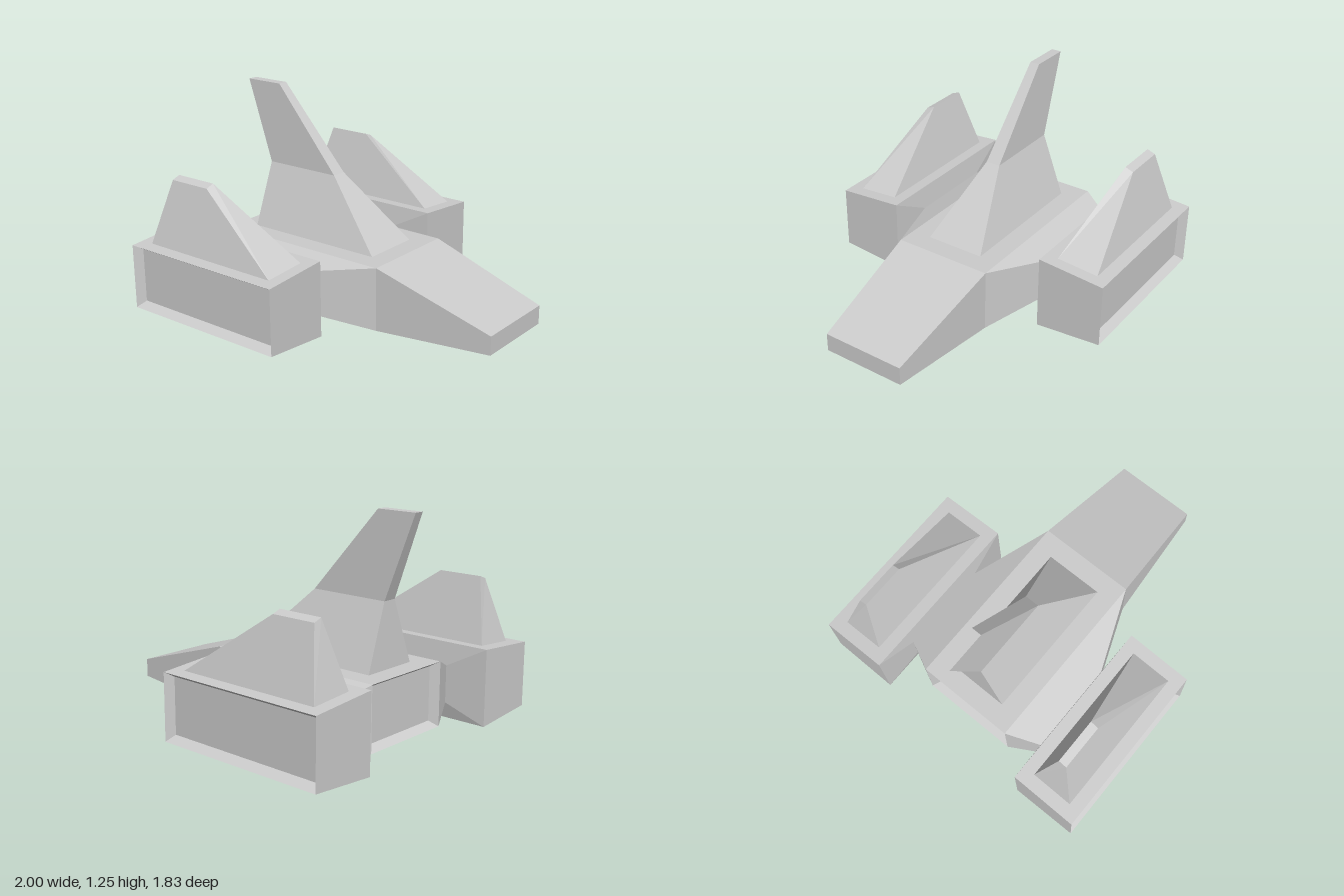
import * as THREE from 'three';

const material = new THREE.MeshStandardMaterial({ color: 0xcccccc, flatShading: true });

// Rectangular cross-sections, each wound counter-clockwise about its axis
const ringX = (x, y0, y1, z) => [[x, y0, -z], [x, y1, -z], [x, y1, z], [x, y0, z]];
const ringY = (x0, x1, z0, z1, y0, y1 = y0) => [[x0, y0, z0], [x0, y1, z1], [x1, y1, z1], [x1, y0, z0]];
const ringZ = (z, x0, x1, y0, y1) => [[x0, y0, z], [x1, y0, z], [x1, y1, z], [x0, y1, z]];

// Skins a list of four-cornered rings and closes the chosen ends
function loft(name, rings, capStart = true, capEnd = true) {
  const positions = [];
  const quad = (a, b, c, d) => positions.push(...a, ...b, ...c, ...a, ...c, ...d);
  for (let r = 0; r < rings.length - 1; r++) {
    for (let i = 0; i < 4; i++) {
      const j = (i + 1) % 4;
      quad(rings[r][i], rings[r][j], rings[r + 1][j], rings[r + 1][i]);
    }
  }
  if (capStart) quad(...[...rings[0]].reverse());
  if (capEnd) quad(...rings[rings.length - 1]);
  const geometry = new THREE.BufferGeometry();
  geometry.setAttribute('position', new THREE.Float32BufferAttribute(positions, 3));
  geometry.computeVertexNormals();
  const mesh = new THREE.Mesh(geometry, material);
  mesh.name = name;
  return mesh;
}

// Same loft on the +z side, or reflected to the -z side
function sideLoft(side, name, rings, capStart, capEnd) {
  if (side > 0) return loft(name, rings, capStart, capEnd);
  const mirrored = rings.map(ring => ring.map(([x, y, z]) => [x, y, -z])).reverse();
  return loft(name, mirrored, capEnd, capStart);
}

export function createModel() {
  const model = new THREE.Group();
  model.name = 'spacecraft';

  // Hull with a recessed rear panel and a tapering nose
  model.add(loft('hull', [
    ringX(-0.79, 0.055, 0.37, 0.27),
    ringX(-0.84, 0.025, 0.4, 0.3),
    ringX(0.285, 0.025, 0.4, 0.3),
    ringX(1, 0.07, 0.18, 0.253),
  ]));

  // Tall swept fin on a broad base
  model.add(loft('tailFin', [
    ringY(-0.72, 0.165, -0.18, 0.18, 0.398),
    ringY(-0.71, -0.22, -0.044, 0.044, 0.775),
    ringY(-0.888, -0.645, -0.03, 0.03, 1.26),
  ]));

  for (const side of [1, -1]) {
    const prefix = side > 0 ? 'front' : 'back';

    // Tapered shoulder joining the hull to the pod
    model.add(sideLoft(side, prefix + 'Shoulder', [
      ringZ(0.3, -0.84, 0.285, 0.025, 0.4),
      ringZ(0.49, -0.75, -0.19, 0.1, 0.32),
    ], false, false));

    // Engine pod with a recessed outer panel
    model.add(sideLoft(side, prefix + 'Pod', [
      ringZ(0.49, -0.75, -0.19, 0.1, 0.32),
      ringZ(0.51, -1, 0.063, 0.005, 0.453),
      ringZ(0.917, -1, 0.063, 0.037, 0.422),
      ringZ(0.867, -0.968, 0.035, 0.07, 0.392),
    ], false, true));

    // Pod fin, its base and tip following the sloping pod roof
    model.add(sideLoft(side, prefix + 'PodFin', [
      ringY(-0.92, -0.012, 0.585, 0.84, 0.446, 0.427),
      ringY(-0.828, -0.557, 0.687, 0.737, 0.82, 0.802),
    ], true, true));
  }
  return model;
}
